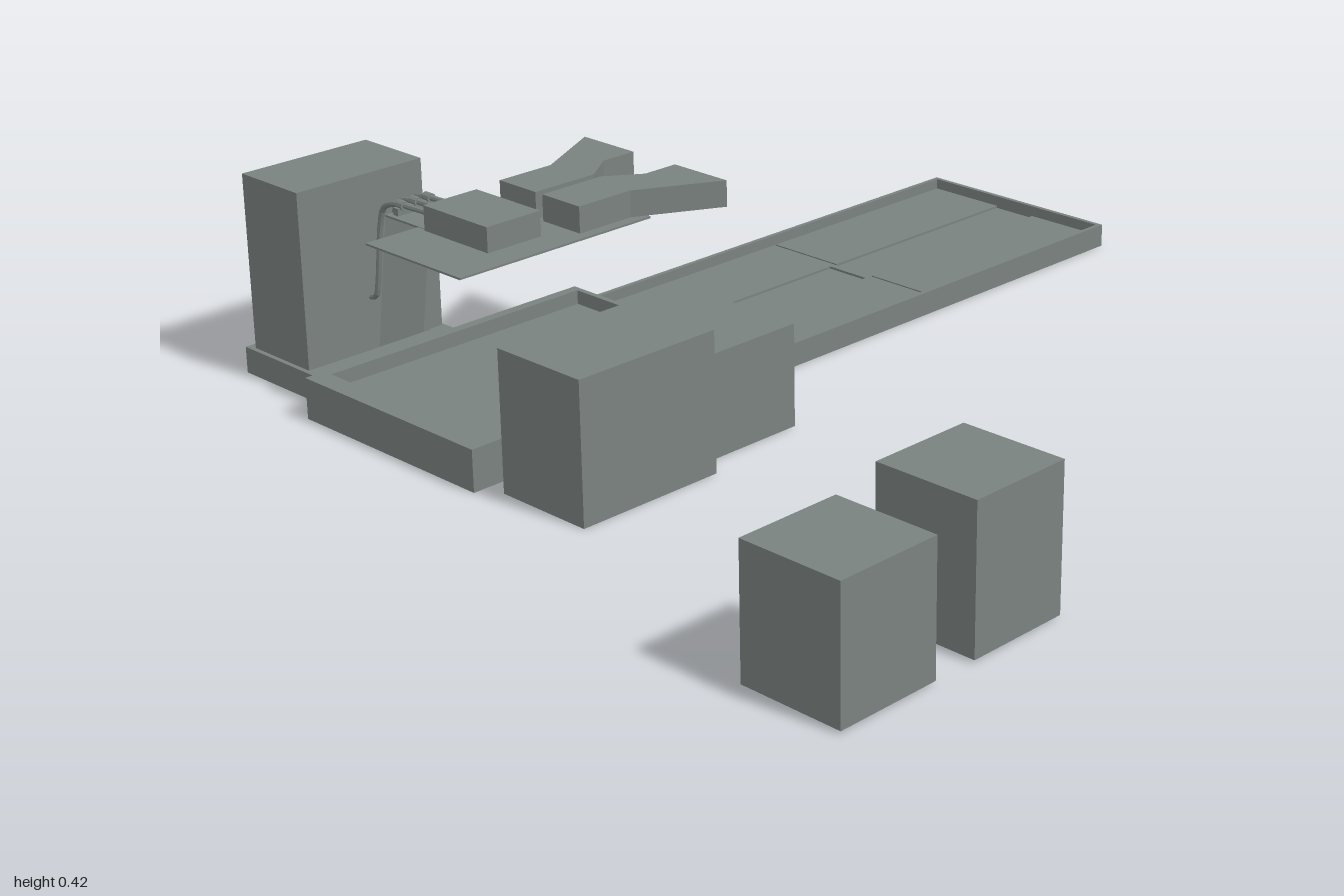
import * as THREE from 'three';

const grey = new THREE.MeshStandardMaterial({ color: 0x7a8280, flatShading: true });
const thin = new THREE.MeshStandardMaterial({ color: 0x7a8280, flatShading: true, side: THREE.DoubleSide });

export function createModel() {
  const model = new THREE.Group();

  function add(geometry, name, parent = model, material = grey) {
    const mesh = new THREE.Mesh(geometry, material);
    mesh.name = name;
    parent.add(mesh);
    return mesh;
  }

  // Box given by its low and high limits on each axis
  function block(name, x0, x1, y0, y1, z0, z1, parent = model) {
    const mesh = add(new THREE.BoxGeometry(x1 - x0, y1 - y0, z1 - z0), name, parent);
    mesh.position.set((x0 + x1) / 2, (y0 + y1) / 2, (z0 + z1) / 2);
    return mesh;
  }

  // Outline in (x, z), raised from y0 to y1
  function slab(name, points, y0, y1) {
    const shape = new THREE.Shape(points.map(([x, z]) => new THREE.Vector2(x, -z)));
    const geometry = new THREE.ExtrudeGeometry(shape, { depth: y1 - y0, bevelEnabled: false });
    geometry.rotateX(-Math.PI / 2);
    add(geometry, name).position.y = y0;
  }

  // Open tray: floor and four walls
  function tray(name, x0, x1, z0, z1, floor, top, side, back, front) {
    const group = new THREE.Group();
    group.name = name;
    model.add(group);
    block(name + 'Floor', x0 + side, x1 - side, 0, floor, z0 + back, z1 - front, group);
    block(name + 'RightWall', x0, x0 + side, 0, top, z0, z1, group);
    block(name + 'LeftWall', x1 - side, x1, 0, top, z0, z1, group);
    block(name + 'BackWall', x0 + side, x1 - side, 0, top, z0, z0 + back, group);
    block(name + 'FrontWall', x0 + side, x1 - side, 0, top, z1 - front, z1, group);
    return group;
  }

  // Long rear trough with side panels, a centre channel and a cross joint
  const trough = tray('trough', -0.65, -0.155, -1, 0.135, 0.022, 0.05, 0.01, 0.01, 0.01);
  for (const [z0, z1] of [[-0.99, -0.45], [-0.43, 0.12]]) {
    block('rightPanel', -0.64, -0.455, 0.02, 0.027, z0, z1, trough);
    block('leftPanel', -0.35, -0.165, 0.02, 0.027, z0, z1, trough);
  }
  block('crossJoint', -0.64, -0.165, 0.02, 0.027, -0.445, -0.43, trough);

  // Front platform with a row of drain teeth
  const platform = tray('platform', -0.65, -0.155, 0.135, 0.82, 0.055, 0.085, 0.022, 0.012, 0.045);
  for (let i = 0; i < 22; i++) {
    const x = -0.615 + i * 0.02;
    block('drainTooth', x, x + 0.01, 0.05, 0.062, 0.764, 0.774, platform);
  }

  // Side cabinet on its plinth
  block('cabinetPlinth', -0.93, -0.65, 0, 0.055, 0.41, 0.76);
  block('cabinet', -0.91, -0.735, 0.055, 0.42, 0.45, 0.75);
  block('cabinetStep', -0.905, -0.74, 0.055, 0.28, 0.415, 0.45);

  // Raised thin plate and pad
  block('supportPlate', -0.54, -0.265, 0.36, 0.364, 0.27, 0.74);
  block('pad', -0.515, -0.33, 0.364, 0.415, 0.49, 0.62);

  // Mirrored flared arms
  const arm = [[-0.205, 0.13], [-0.115, 0.3], [-0.115, 0.43], [-0.01, 0.43],
    [-0.01, 0.28], [-0.06, 0.21], [-0.06, 0.13]];
  for (const s of [1, -1]) {
    slab(s > 0 ? 'rightArm' : 'leftArm', arm.map(([x, z]) => [-0.403 + s * x, z]), 0.364, 0.418);
  }

  // Leaning sheet that carries the plate
  const sheet = add(new THREE.PlaneGeometry(0.11, 0.289), 'leaningSheet', model, thin);
  sheet.rotation.set(0, Math.PI / 2, -Math.atan2(0.045, 0.285), 'ZYX');
  sheet.position.set(-0.6625, 0.2225, 0.56);
  block('sheetFlange', -0.64, -0.515, 0.361, 0.365, 0.505, 0.615);

  // Three hoses from the cabinet to the pad
  const path = [[-0.735, 0.165], [-0.718, 0.172], [-0.708, 0.21], [-0.69, 0.33],
    [-0.677, 0.365], [-0.645, 0.38], [-0.58, 0.385], [-0.51, 0.387]];
  for (const z of [0.525, 0.557, 0.59]) {
    const curve = new THREE.CatmullRomCurve3(path.map(([x, y]) => new THREE.Vector3(x, y, z)));
    add(new THREE.TubeGeometry(curve, 32, 0.006, 8), 'hose');
    const collar = add(new THREE.CylinderGeometry(0.01, 0.01, 0.02, 10), 'hoseCollar');
    collar.rotation.z = Math.PI / 2;
    collar.position.set(-0.62, 0.383, z);
  }
  block('hoseClamp', -0.628, -0.614, 0.365, 0.38, 0.51, 0.605);

  // Free-standing boxes
  block('largeBox', -0.113, 0.103, 0, 0.283, 0.46, 0.785);
  block('lowBox', -0.137, 0.055, 0, 0.21, 0.205, 0.457);
  block('farRearBox', 0.71, 0.925, 0.005, 0.285, 0.475, 0.69);
  block('farFrontBox', 0.71, 0.925, 0.005, 0.258, 0.783, 1);

  return model;
}
